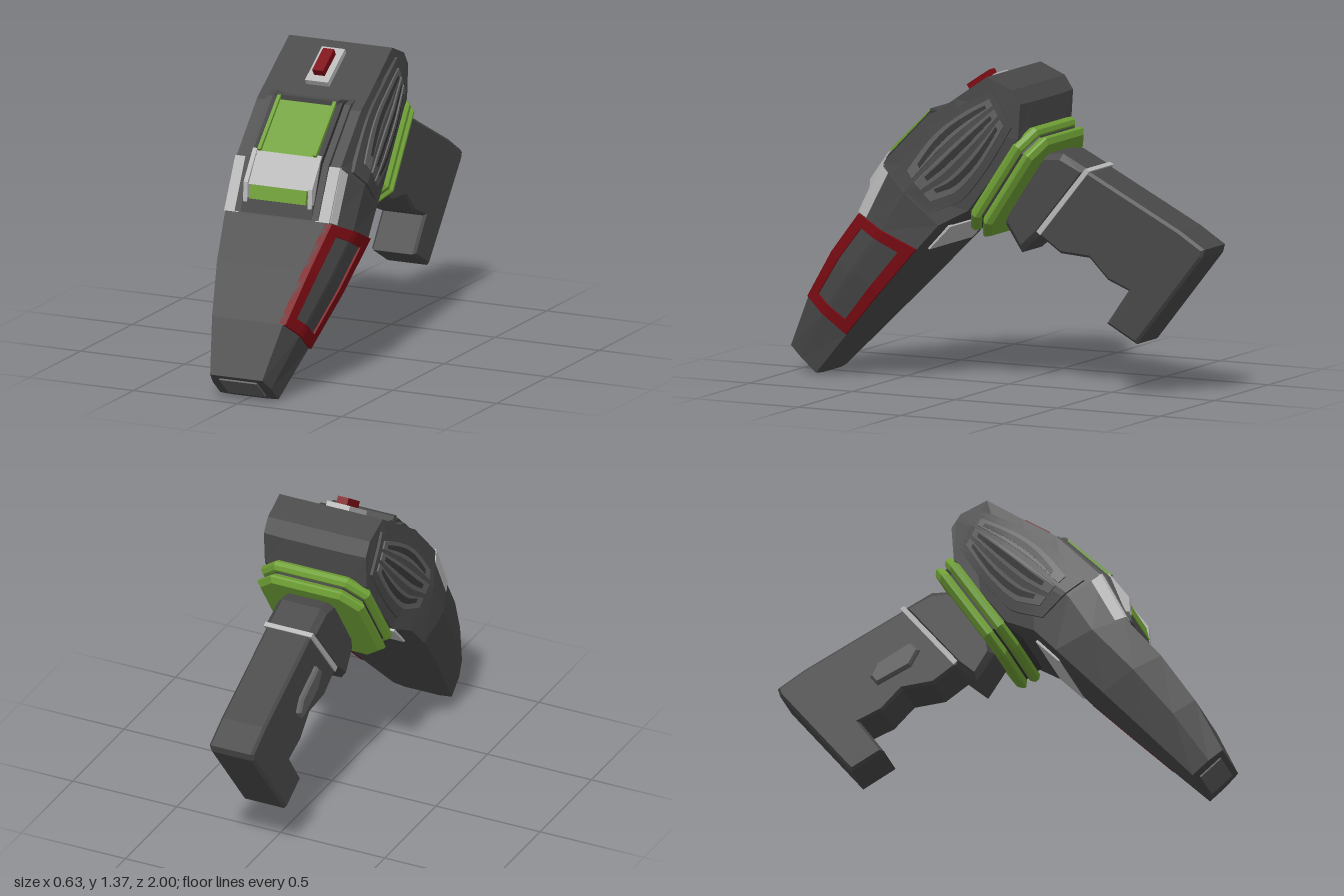
import * as THREE from 'three';

const mat = (color) => new THREE.MeshStandardMaterial({ color, flatShading: true });
const DARK = mat(0x484848), SLOT = mat(0x363636), RIB = mat(0x606060);
const GREEN = mat(0x6fa035), RED = mat(0x7c0c14), LIGHT = mat(0xb8b8b8);

// Body sections from nose to top: front point (z, y), back point (z, y),
// half widths at the front, the middle and the back
const SECTIONS = [
  [1.0, 0.11, 0.87, 0.0, 0.125, 0.14, 0.14],
  [0.89, 0.34, 0.69, 0.19, 0.17, 0.205, 0.195],
  [0.75, 0.55, 0.5, 0.39, 0.215, 0.262, 0.25],
  [0.6, 0.73, 0.3, 0.6, 0.25, 0.3, 0.29],
  [0.49, 0.95, 0.2, 0.71, 0.25, 0.3, 0.28],
  [0.29, 1.16, 0.07, 0.78, 0.25, 0.285, 0.25],
  [0.14, 1.26, -0.05, 0.94, 0.25, 0.275, 0.245],
  [-0.02, 1.37, -0.17, 1.11, 0.248, 0.25, 0.245],
  [-0.14, 1.32, -0.18, 1.26, 0.245, 0.245, 0.245],
];
const MID = 0.45;

function section(s) {
  const i = Math.min(Math.floor(s), SECTIONS.length - 2);
  return SECTIONS[i].map((v, k) => THREE.MathUtils.lerp(v, SECTIONS[i + 1][k], s - i));
}

// Point on the left flank: s along the body, t from front (0) to back (1)
function flank(s, t) {
  const [fz, fy, bz, by, wf, wm, wb] = section(s);
  const x = t < MID ? wf + (wm - wf) * t / MID : wm + (wb - wm) * (t - MID) / (1 - MID);
  return [x, fy + (by - fy) * t, fz + (bz - fz) * t];
}

function bodyGeometry() {
  const pos = [], idx = [], n = 8;
  SECTIONS.forEach((q, s) => {
    const [x, y, z] = flank(s, 1.04);
    const half = [flank(s, 0), flank(s, MID), flank(s, 1), [x * 0.6, y, z]];
    const other = half.map(([a, b, c]) => [-a, b, c]).reverse();
    [...half, ...other].forEach((p) => pos.push(...p));
  });
  const last = (SECTIONS.length - 1) * n;
  for (let s = 0; s < SECTIONS.length - 1; s++) {
    for (let i = 0; i < n; i++) {
      const a = s * n + i, b = s * n + (i + 1) % n;
      idx.push(a, b, b + n, a, b + n, a + n);
    }
  }
  for (let i = 1; i < n - 1; i++) idx.push(0, i + 1, i, last, last + i, last + i + 1);
  const g = new THREE.BufferGeometry();
  g.setAttribute('position', new THREE.Float32BufferAttribute(pos, 3));
  g.setIndex(idx);
  g.computeVertexNormals();
  return g;
}

// Plate that follows the flank, narrowing toward its ends by taper
function flankPlate(s0, s1, t0, t1, height, taper = 0) {
  const g = new THREE.BoxGeometry(1, 1, 1, 1, 12, 10), p = g.attributes.position;
  for (let i = 0; i < p.count; i++) {
    const v = p.getY(i), k = 1 - taper * Math.pow(Math.abs(2 * v), 2);
    const t = 0.5 + ((t0 + t1) / 2 - p.getZ(i) * (t1 - t0) - 0.5) * k;
    const [x, y, z] = flank(s0 + (v + 0.5) * (s1 - s0), t);
    p.setXYZ(i, x + (p.getX(i) > 0 ? height : -0.02), y, z);
  }
  g.computeVertexNormals();
  return g;
}

// Side profile in (z, y) extruded across x
function prism(profile, width, cx = 0, bevel = 0) {
  const shape = new THREE.Shape(profile.map(([z, y]) => new THREE.Vector2(z, y)));
  const depth = width - 2 * bevel;
  const g = new THREE.ExtrudeGeometry(shape, {
    depth, bevelEnabled: bevel > 0, bevelThickness: bevel, bevelSize: bevel,
    bevelOffset: -bevel, bevelSegments: 1,
  });
  return g.translate(0, 0, -depth / 2).rotateY(-Math.PI / 2).translate(cx, 0, 0);
}

// Octagonal collar plate with bevelled rim
function collarPlate(w, h, c, depth, bevel) {
  const pts = [[w, h - c], [w - c, h], [c - w, h], [-w, h - c],
    [-w, c - h], [c - w, -h], [w - c, -h], [w, c - h]];
  const shape = new THREE.Shape(pts.map(([x, y]) => new THREE.Vector2(x, y)));
  return new THREE.ExtrudeGeometry(shape, {
    depth: depth - 2 * bevel, bevelThickness: bevel, bevelSize: bevel,
    bevelOffset: -bevel, bevelSegments: 1, bevelEnabled: bevel > 0,
  }).translate(0, 0, bevel - depth / 2);
}

export function createModel() {
  const root = new THREE.Group();
  const device = new THREE.Group();
  device.name = 'scanner';
  device.position.x = -0.006;
  root.add(device);
  const add = (name, geometry, material, parent = device) => {
    const m = new THREE.Mesh(geometry, material);
    m.name = name;
    parent.add(m);
    return m;
  };

  add('body', bodyGeometry(), DARK);

  // Nose window
  const nose = add('noseWindow', new THREE.BoxGeometry(0.18, 0.012, 0.12), RIB);
  nose.position.set(0, 0.053, 0.935);
  nose.rotation.x = -0.7;

  // Red frame on the left flank only
  [[1, 3, 0, 0.17], [1, 3, 0.83, 1], [1, 1.2, 0, 1], [2.8, 3, 0, 1]].forEach((r) =>
    add('redFrame', flankPlate(...r, 0.013), RED));
  add('framePanel', flankPlate(1.2, 2.8, 0.17, 0.83, 0.003), DARK);

  // Vented side panels and light cheeks, mirrored
  for (const side of [1, -1]) {
    const flankGroup = new THREE.Group();
    flankGroup.name = side > 0 ? 'leftSide' : 'rightSide';
    flankGroup.scale.x = side;
    device.add(flankGroup);
    add('ventPanel', flankPlate(4.08, 7, 0.1, 0.9, 0.012, 0.2), DARK, flankGroup);
    [0.27, 0.5, 0.73].forEach((t) => {
      add('ventRib', flankPlate(4.35, 6.85, t - 0.08, t + 0.08, 0.019, 0.3), RIB, flankGroup);
      add('ventSlot', flankPlate(4.6, 6.7, t - 0.035, t + 0.035, 0.021, 0.3), SLOT, flankGroup);
    });
    add('cheekSide', flankPlate(3.02, 4, 0, 0.13, 0.004), LIGHT, flankGroup);
    add('cheekFront', prism([[0.607, 0.735], [0.497, 0.955], [0.46, 0.95], [0.57, 0.735]], 0.068, 0.218),
      LIGHT, flankGroup);

    // Stepped rails and raised lips beside the screen
    add('outerRail', prism([[0.22, 1.2], [0.29, 1.18], [0.5, 0.965], [0.61, 0.74], [0.5, 0.74], [0.25, 1.1]],
      0.03, 0.185), DARK, flankGroup);
    add('innerRail', prism([[0.25, 1.19], [0.3, 1.188], [0.51, 0.975], [0.6, 0.74], [0.5, 0.74], [0.25, 1.1]],
      0.026, 0.154), SLOT, flankGroup);
    add('screenLip', prism([[0.28, 1.18], [0.31, 1.195], [0.51, 1.0], [0.46, 0.96]], 0.016, 0.133),
      GREEN, flankGroup);
    add('lowerLip', prism([[0.5, 1.0], [0.593, 0.87], [0.6, 0.77], [0.5, 0.8]], 0.02, 0.155),
      LIGHT, flankGroup);
  }

  // Screen and the parts below it
  add('screenTopEdge', prism([[0.24, 1.17], [0.29, 1.2], [0.31, 1.195], [0.31, 1.15]], 0.3), DARK);
  add('screen', prism([[0.28, 1.17], [0.315, 1.175], [0.5, 0.99], [0.45, 0.94]], 0.256), GREEN);
  add('screenBand', prism([[0.5, 0.99], [0.585, 0.86], [0.52, 0.85], [0.45, 0.95]], 0.32), LIGHT);
  add('screenFoot', prism([[0.585, 0.86], [0.6, 0.8], [0.5, 0.8], [0.5, 0.86]], 0.27), GREEN);
  add('screenSill', prism([[0.595, 0.8], [0.61, 0.74], [0.5, 0.74], [0.5, 0.8]], 0.34), DARK);

  // Red button on its light plate
  const button = new THREE.Group();
  button.name = 'topButton';
  button.position.set(-0.004, 1.288, 0.118);
  button.rotation.x = 0.585;
  device.add(button);
  add('buttonPlate', new THREE.BoxGeometry(0.11, 0.03, 0.2), LIGHT, button);
  add('buttonCap', new THREE.BoxGeometry(0.052, 0.07, 0.13), RED, button).position.y = 0.012;

  // Light plate under the body
  add('bellyPlate', prism([[0.287, 0.588], [0.184, 0.694], [0.22, 0.73], [0.32, 0.62]], 0.4), LIGHT);

  // Green collar of two plates around a dark core
  const collar = new THREE.Group();
  collar.name = 'collar';
  collar.position.set(0, 0.902, -0.09);
  collar.rotation.x = -0.588;
  device.add(collar);
  add('collarFront', collarPlate(0.26, 0.275, 0.085, 0.05, 0.015), GREEN, collar).position.z = 0.03;
  add('collarBack', collarPlate(0.255, 0.27, 0.085, 0.05, 0.02), GREEN, collar).position.z = -0.03;
  add('collarCore', collarPlate(0.235, 0.25, 0.08, 0.16, 0), SLOT, collar).position.z = 0.04;

  // Neck, light strip and grip
  add('neck', prism([[-0.05, 0.88], [-0.22, 1.03], [-0.31, 1.035], [-0.44, 0.97], [-0.2, 0.67],
    [-0.11, 0.59], [-0.03, 0.71]], 0.235, 0, 0.025), DARK);
  add('gripStrip', prism([[-0.428, 0.98], [-0.448, 0.97], [-0.208, 0.675], [-0.19, 0.69]], 0.228), LIGHT);
  add('grip', prism([[-0.42, 0.975], [-0.88, 0.74], [-1.0, 0.665], [-0.99, 0.63], [-0.67, 0.23],
    [-0.525, 0.31], [-0.63, 0.46], [-0.53, 0.5], [-0.44, 0.59], [-0.3, 0.6], [-0.19, 0.675]],
  0.212, 0, 0.012), DARK);

  // Thumb pad on the right of the grip
  add('thumbPad', prism([[-0.36, 0.76], [-0.4, 0.8], [-0.55, 0.72], [-0.58, 0.66], [-0.55, 0.62], [-0.4, 0.69]],
    0.04, -0.109, 0.01), RIB);
  return root;
}
